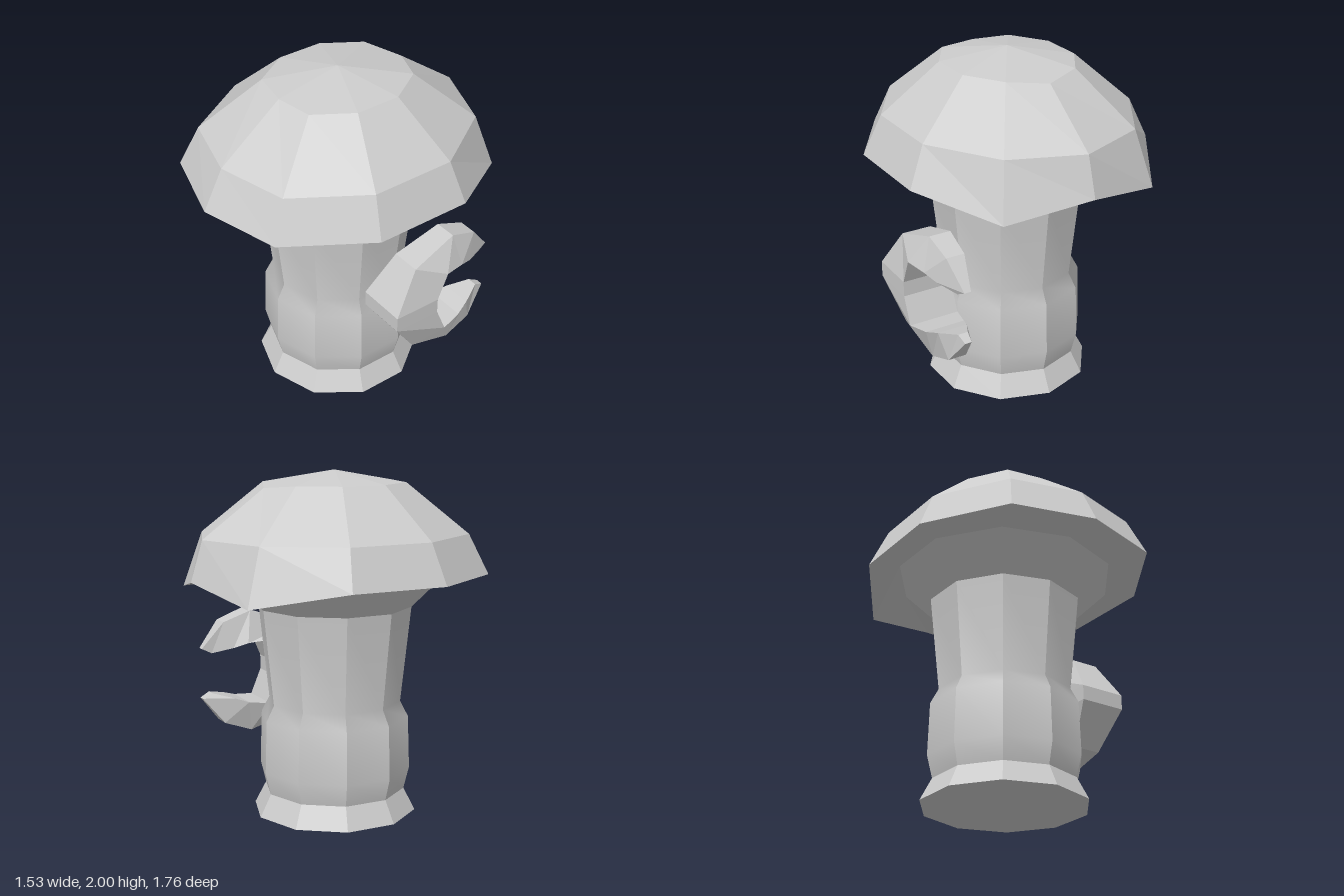
import * as THREE from 'three';
import { mergeGeometries } from 'three/addons/utils/BufferGeometryUtils.js';

const SIDES = 10;
const material = new THREE.MeshStandardMaterial({ color: 0xcccccc });

// Flat-faced skin over closed rings; each ring runs anticlockwise seen from the first ring's end
function loft(rings, capStart, capEnd) {
  const pos = [];
  const tri = (a, b, c) => {
    const n = b.clone().sub(a).cross(c.clone().sub(a));
    if (n.length() > 1e-8) for (const p of [a, b, c]) pos.push(p.x, p.y, p.z);
  };
  const count = rings[0].length;
  for (let r = 0; r + 1 < rings.length; r++) {
    const A = rings[r], B = rings[r + 1];
    for (let j = 0; j < count; j++) {
      const k = (j + 1) % count;
      tri(A[j], B[j], B[k]);
      tri(A[j], B[k], A[k]);
    }
  }
  const last = rings[rings.length - 1];
  for (let j = 1; j + 1 < count; j++) {
    if (capStart) tri(rings[0][0], rings[0][j], rings[0][j + 1]);
    if (capEnd) tri(last[0], last[j + 1], last[j]);
  }
  const g = new THREE.BufferGeometry();
  g.setAttribute('position', new THREE.Float32BufferAttribute(pos, 3));
  g.computeVertexNormals();
  return g;
}

// Ten-sided ring starting at the front
function ring(y, rx, rz = rx) {
  return Array.from({ length: SIDES }, (_, i) => {
    const a = (i / SIDES) * Math.PI * 2;
    return new THREE.Vector3(Math.sin(a) * rx, y, Math.cos(a) * rz);
  });
}

// One shaft panel: smooth along its height, sharp against its neighbours
function panel(profile, i) {
  const pos = [], index = [];
  profile.forEach(([r, y], n) => {
    for (const s of [i, i + 1]) {
      const a = (s / SIDES) * Math.PI * 2;
      pos.push(Math.sin(a) * r, y, Math.cos(a) * r);
    }
    if (n) {
      const t = 2 * n - 2, b = 2 * n;
      index.push(t, b, b + 1, t, b + 1, t + 1);
    }
  });
  const g = new THREE.BufferGeometry();
  g.setAttribute('position', new THREE.Float32BufferAttribute(pos, 3));
  g.setIndex(index);
  g.computeVertexNormals();
  return g;
}

function capGeometry() {
  const crown = ring(1.93, 0.374, 0.43);
  crown[0].z = 0.385;
  crown[5].set(0, 1.91, -0.44);
  const shoulder = ring(1.64, 0.7, 0.805);
  shoulder[0].z = 0.76;
  shoulder[5].z = -0.81;
  const rim = ring(1.41, 0.805, 0.925);
  rim[0].z = 0.88;
  rim[5].z = -0.88;
  // the two corners beside the back tip droop
  rim[4].y = rim[6].y = 1.32;
  return loft([ring(2, 0), crown, shoulder, rim, ring(1.41, 0.64)], false, false);
}

function handleGeometry() {
  const cx = 0.605, midY = 0.75;
  // outer z, y, half width, then inner z, y, half width; upper half from tip to front
  const upper = [
    [-0.6, 0.905, 0.02, -0.54, 0.875, 0.03],
    [-0.47, 1.065, 0.055, -0.42, 0.907, 0.09],
    [-0.3, 1.125, 0.065, -0.335, 0.935, 0.12],
    [-0.02, 1.03, 0.087, -0.205, 0.95, 0.15],
    [0.145, 0.795, 0.145, -0.14, 0.795, 0.15],
  ];
  const lower = upper.map(([oz, oy, ow, iz, iy, iw]) =>
    [oz, 2 * midY - oy, ow, iz, 2 * midY - iy, iw]).reverse();
  const rings = [...upper, ...lower].map(([oz, oy, ow, iz, iy, iw]) => [
    new THREE.Vector3(cx - ow, oy, oz),
    new THREE.Vector3(cx + ow, oy, oz),
    new THREE.Vector3(cx + iw, iy, iz),
    new THREE.Vector3(cx - iw, iy, iz),
  ]);
  return loft(rings, true, true);
}

export function createModel() {
  const group = new THREE.Group();
  const add = (name, geometry) => {
    const mesh = new THREE.Mesh(geometry, material);
    mesh.name = name;
    group.add(mesh);
  };

  add('cap', capGeometry());
  add('neckFlare', loft([ring(1.41, 0.64), ring(1.22, 0.45)], false, false));

  // Waisted shaft, radius and height from top to bottom
  const shaft = [[0.45, 1.22], [0.39, 0.66], [0.437, 0.57], [0.447, 0.26], [0.415, 0.13]];
  add('stem', mergeGeometries(Array.from({ length: SIDES }, (_, i) => panel(shaft, i))));
  add('foot', loft([ring(0.13, 0.415), ring(0, 0.482)], false, true));
  add('handle', handleGeometry());
  return group;
}
